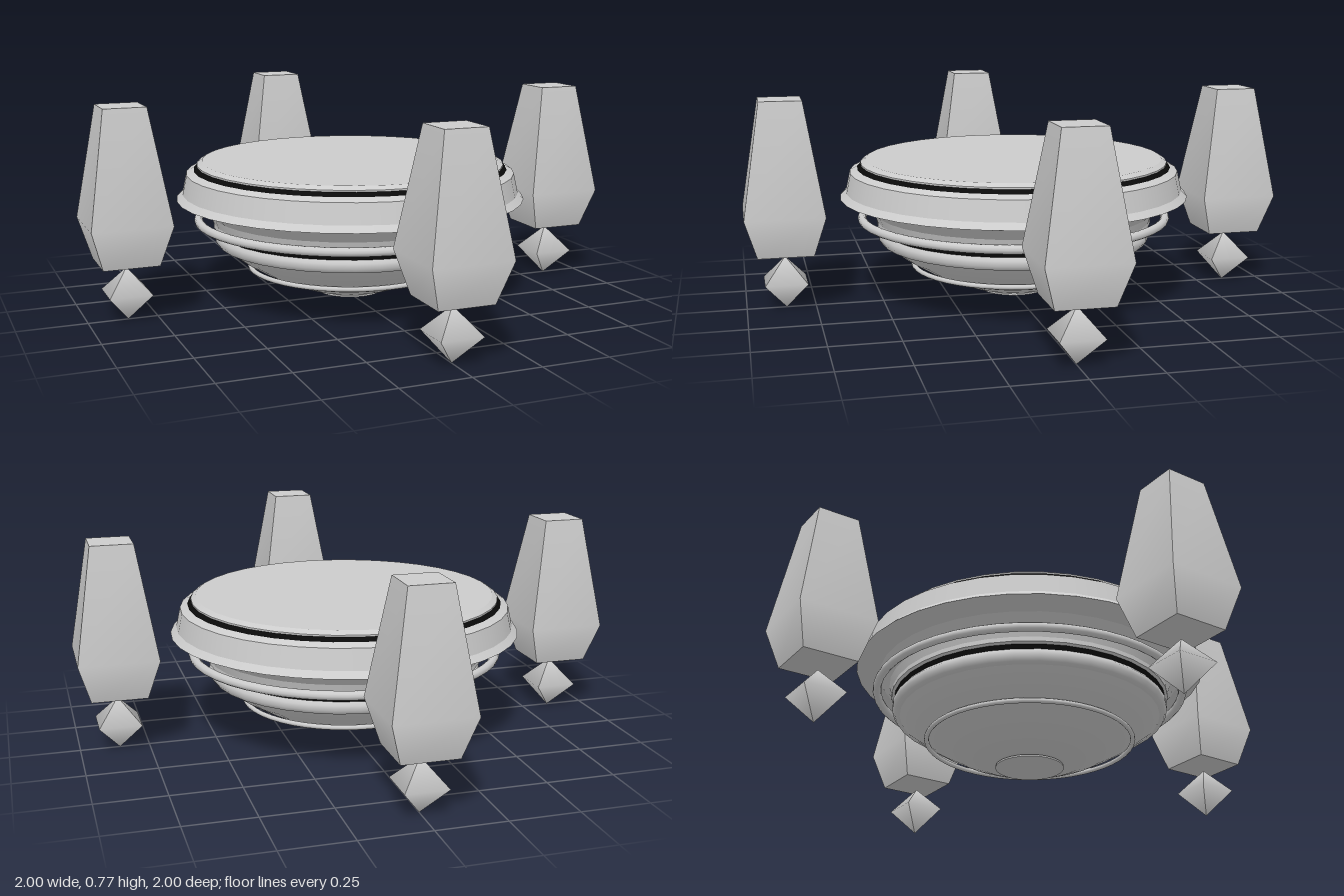
import * as THREE from 'three';

const grey = new THREE.MeshStandardMaterial({ color: 0xcccccc, side: THREE.DoubleSide });
const black = new THREE.MeshStandardMaterial({ color: 0x0a0a0a, side: THREE.DoubleSide });

// Surface of revolution; profile runs bottom to top as [radius, y].
// Each segment is its own lathe when creased, so its edges stay sharp.
function turned(name, profile, material = grey, creased = true) {
  const group = new THREE.Group();
  group.name = name;
  const pts = profile.map(([r, y]) => new THREE.Vector2(r, y));
  const runs = creased ? pts.slice(1).map((p, i) => [pts[i], p]) : [pts];
  for (const run of runs) {
    const mesh = new THREE.Mesh(new THREE.LatheGeometry(run, 36), material);
    mesh.name = name;
    group.add(mesh);
  }
  return group;
}

function hoop(name, radius, tube, y) {
  const mesh = new THREE.Mesh(new THREE.TorusGeometry(radius, tube, 10, 48), grey);
  mesh.name = name;
  mesh.rotation.x = Math.PI / 2;
  mesh.position.y = y;
  return mesh;
}

// Square column from [halfWidth, y] levels: sharp corners, smooth along its height
function squareColumn(name, levels) {
  const pos = [], index = [];
  const corner = (h, k) => [[-h, h], [h, h], [h, -h], [-h, -h]][k % 4];
  for (let s = 0; s < 4; s++) {
    const base = pos.length / 3;
    for (const [h, y] of levels) {
      for (const k of [s, s + 1]) {
        const [x, z] = corner(h, k);
        pos.push(x, y, z);
      }
    }
    for (let i = 0; i < levels.length - 1; i++) {
      const a = base + i * 2;
      index.push(a, a + 1, a + 3, a, a + 3, a + 2);
    }
  }
  // End caps
  for (const [level, up] of [[levels[0], false], [levels[levels.length - 1], true]]) {
    const [h, y] = level;
    if (h === 0) continue;
    const b = pos.length / 3;
    for (let k = 0; k < 4; k++) {
      const [x, z] = corner(h, k);
      pos.push(x, y, z);
    }
    index.push(...(up ? [b, b + 1, b + 2, b, b + 2, b + 3] : [b, b + 2, b + 1, b, b + 3, b + 2]));
  }
  const geo = new THREE.BufferGeometry();
  geo.setAttribute('position', new THREE.Float32BufferAttribute(pos, 3));
  geo.setIndex(index);
  geo.computeVertexNormals();
  const mesh = new THREE.Mesh(geo, grey);
  mesh.name = name;
  return mesh;
}

export function createModel() {
  const model = new THREE.Group();
  model.name = 'hoverPlatform';

  // Rounded underside with base plate
  model.add(turned('lowerBowl', [
    [0, 0.03], [0.12, 0.034], [0.2, 0.053], [0.28, 0.085], [0.35, 0.122],
    [0.42, 0.165], [0.48, 0.21], [0.495, 0.23],
  ], grey, false));
  model.add(turned('basePlate', [[0, 0.022], [0.125, 0.022], [0.125, 0.028], [0, 0.028]]));
  model.add(hoop('lowerHoop', 0.38, 0.009, 0.125));

  // Stepped waist
  model.add(turned('waistBand', [[0.48, 0.212], [0.5, 0.217], [0.51, 0.232], [0.51, 0.25], [0.5, 0.262]], grey, false));
  model.add(turned('waistGroove', [[0.5, 0.262], [0.505, 0.278]], black));
  model.add(turned('waistCollar', [[0.505, 0.278], [0.515, 0.284], [0.515, 0.3], [0.525, 0.33], [0.565, 0.37]]));
  model.add(hoop('middleHoop', 0.57, 0.016, 0.308));

  // Upper rim and deck
  model.add(turned('rim', [
    [0.565, 0.37], [0.65, 0.39], [0.628, 0.412], [0.612, 0.485], [0.585, 0.498],
  ]));
  model.add(turned('deckGroove', [[0.585, 0.498], [0.572, 0.512]], black));
  model.add(turned('deck', [[0.572, 0.512], [0.572, 0.518], [0.553, 0.53], [0, 0.53]]));

  // Four pylons, each hovering over a crystal
  for (let i = 0; i < 4; i++) {
    const pylon = new THREE.Group();
    pylon.name = 'pylon' + (i + 1);
    pylon.add(squareColumn('pylonBody', [[0.1, 0.21], [0.143, 0.357], [0.076, 0.768]]));
    pylon.add(squareColumn('pylonCrystal', [[0, 0], [0.077, 0.1], [0, 0.192]]));
    const angle = i * Math.PI / 2;
    pylon.position.set(Math.sin(angle) * 0.857, 0, Math.cos(angle) * 0.857);
    pylon.rotation.y = angle;
    model.add(pylon);
  }
  return model;
}
